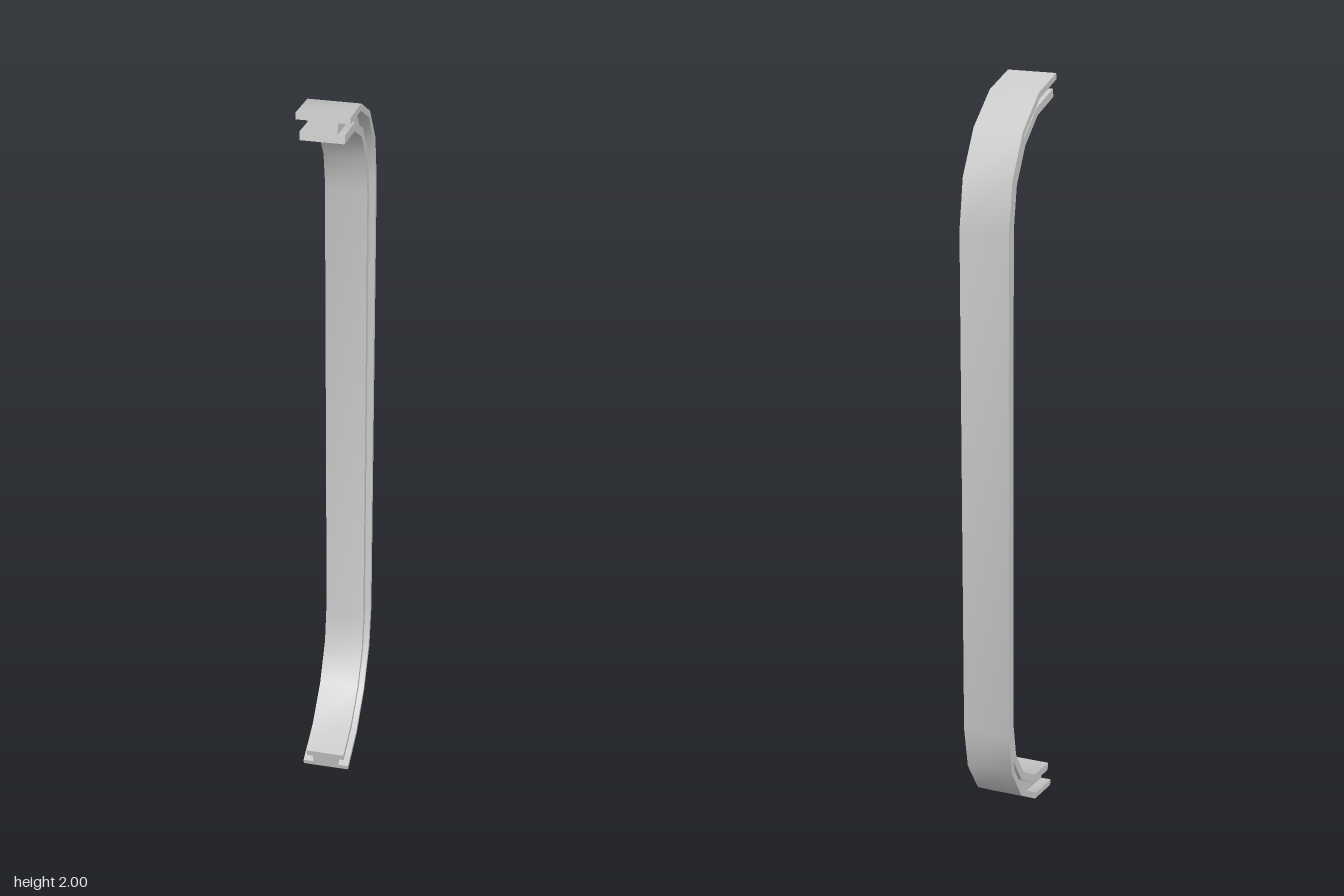
import * as THREE from 'three';
import { toCreasedNormals } from 'three/addons/utils/BufferGeometryUtils.js';

// Half of the rail section: [half width, depth from the outer face]
const halfSection = [
  [0.063, 0], [0.063, 0.016], [0.035, 0.016],
  [0.035, 0.042], [0.052, 0.042], [0.052, 0.063],
];
const section = [
  ...halfSection,
  ...halfSection.map(([x, t]) => [-x, t]).reverse(),
].map(([x, t]) => new THREE.Vector2(x, t));

// Outer edge of the upper bend as [z, y], mirrored for the lower bend
const upperBend = [[0.157, 2], [0.033, 1.975], [-0.075, 1.905], [-0.147, 1.8], [-0.171, 1.675]];
const path = [
  ...upperBend,
  ...upperBend.map(([z, y]) => [z, 2 - y]).reverse(),
].map(([z, y]) => new THREE.Vector2(z, y));

// Sweep the section along the path with mitred joints
function sweepRail() {
  const inward = (a, b) => {
    const d = b.clone().sub(a).normalize();
    return new THREE.Vector2(-d.y, d.x);
  };
  const positions = [];
  path.forEach((p, i) => {
    const before = inward(path[Math.max(i - 1, 0)], path[Math.max(i, 1)]);
    const last = path.length - 1;
    const after = inward(path[Math.min(i, last - 1)], path[Math.min(i + 1, last)]);
    const mitre = before.clone().add(after).divideScalar(1 + before.dot(after));
    for (const s of section) {
      positions.push(s.x, p.y + mitre.y * s.y, p.x + mitre.x * s.y);
    }
  });

  const n = section.length;
  const index = [];
  for (let i = 0; i < path.length - 1; i++) {
    for (let j = 0; j < n; j++) {
      const a = i * n + j;
      const b = i * n + (j + 1) % n;
      index.push(a, b, b + n, a, b + n, a + n);
    }
  }
  // End caps
  const end = (path.length - 1) * n;
  for (const [a, b, c] of THREE.ShapeUtils.triangulateShape(section, [])) {
    index.push(c, b, a, end + a, end + b, end + c);
  }

  const geometry = new THREE.BufferGeometry();
  geometry.setAttribute('position', new THREE.Float32BufferAttribute(positions, 3));
  geometry.setIndex(index);
  return toCreasedNormals(geometry, Math.PI / 6);
}

export function createModel() {
  const group = new THREE.Group();
  group.name = 'curvedRail';
  const rail = new THREE.Mesh(sweepRail(), new THREE.MeshStandardMaterial({ color: 0xcccccc }));
  rail.name = 'groovedRail';
  group.add(rail);
  return group;
}
